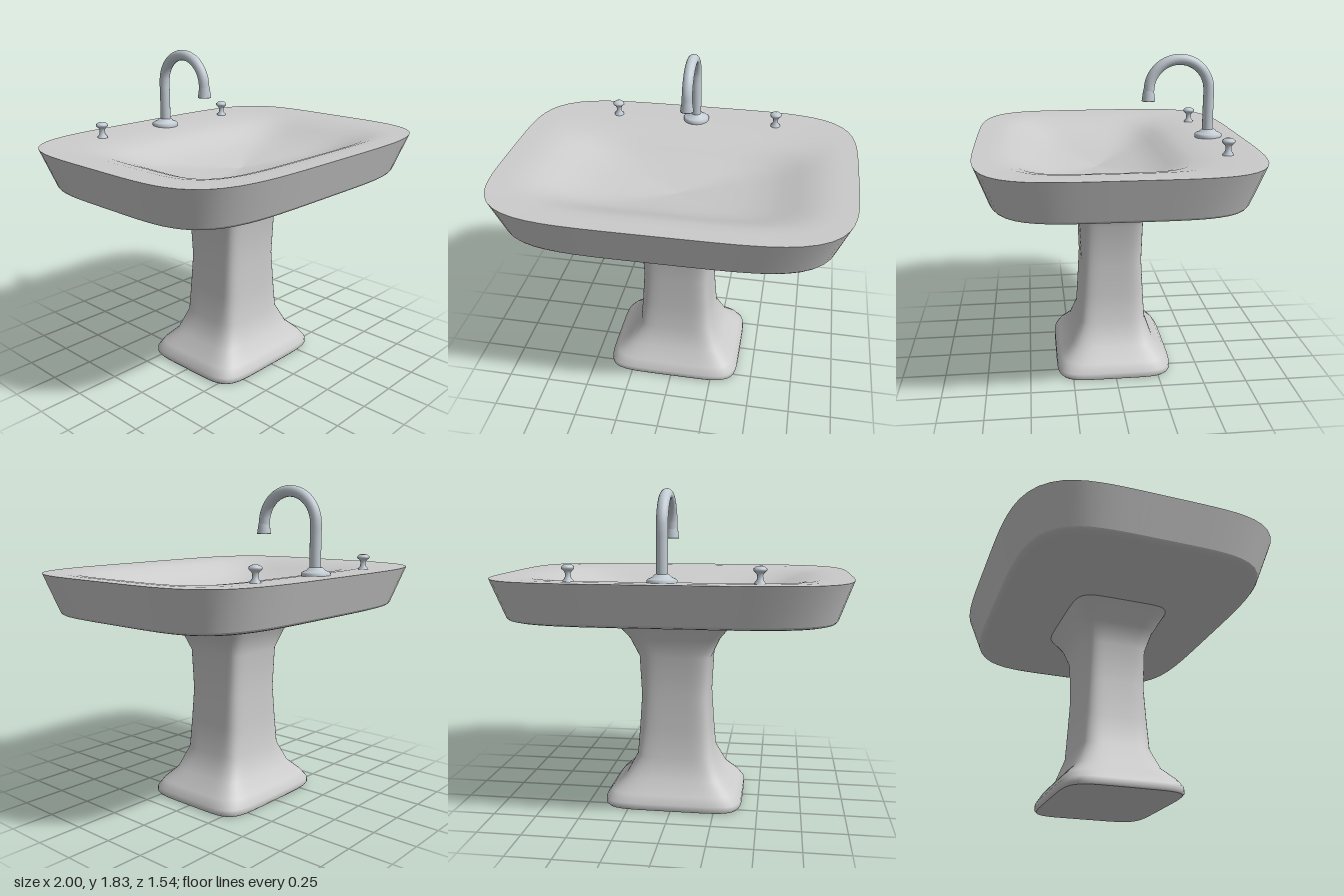
import * as THREE from 'three';

const ceramic = new THREE.MeshStandardMaterial({ color: 0xcccccc });
const metal = new THREE.MeshStandardMaterial({ color: 0xc3ccd4 });

// Skin over rounded-rectangle rings [y, halfX, halfZ, centreZ]; a repeated ring makes a sharp edge
function loft(rings, power, sides = 96) {
  const pos = [], index = [];
  for (const [y, a, b, cz = 0] of rings) {
    for (let j = 0; j < sides; j++) {
      const t = (j / sides) * Math.PI * 2, c = Math.cos(t), s = Math.sin(t);
      const r = (Math.abs(c) ** power + Math.abs(s) ** power) ** (-1 / power);
      pos.push(a * r * c, y, b * r * s + cz);
    }
  }
  for (let i = 0; i < rings.length - 1; i++) {
    for (let j = 0; j < sides; j++) {
      const k = (j + 1) % sides;
      const p = i * sides + j, q = i * sides + k, u = p + sides, v = q + sides;
      index.push(p, u, q, q, u, v);
    }
  }
  const geo = new THREE.BufferGeometry();
  geo.setAttribute('position', new THREE.Float32BufferAttribute(pos, 3));
  geo.setIndex(index);
  geo.computeVertexNormals();
  return geo;
}

function add(parent, name, geo, mat, x = 0, y = 0, z = 0) {
  const mesh = new THREE.Mesh(geo, mat);
  mesh.name = name;
  mesh.position.set(x, y, z);
  parent.add(mesh);
  return mesh;
}

const lathe = (points, sides) =>
  new THREE.LatheGeometry(points.map(([r, y]) => new THREE.Vector2(r, y)), sides);

export function createModel() {
  const model = new THREE.Group();
  model.name = 'pedestalSink';

  // Pedestal: flared foot, waisted column, flared neck
  add(model, 'pedestal', loft([
    [0, 0, 0], [0, 0.395, 0.33], [0, 0.395, 0.33],
    [0.012, 0.405, 0.34], [0.04, 0.403, 0.338], [0.085, 0.37, 0.31],
    [0.155, 0.295, 0.245], [0.28, 0.227, 0.2], [0.45, 0.213, 0.19],
    [0.64, 0.201, 0.18], [0.88, 0.213, 0.187], [0.99, 0.265, 0.222],
    [1.1, 0.355, 0.285],
  ], 6), ceramic);

  // Basin: underside, slanted side, rim, then the bowl down to its lowest point
  add(model, 'basin', loft([
    [1.093, 0, 0], [1.095, 0.3, 0.23], [1.126, 0.89, 0.665], [1.126, 0.89, 0.665],
    [1.133, 0.915, 0.685], [1.145, 0.925, 0.694], [1.145, 0.925, 0.694],
    [1.36, 1, 0.77], [1.36, 1, 0.77],
    [1.357, 0.9, 0.665, 0.01], [1.351, 0.83, 0.57, 0.045], [1.336, 0.755, 0.485, 0.08],
    [1.31, 0.68, 0.42, 0.085], [1.28, 0.6, 0.362, 0.082], [1.252, 0.51, 0.302, 0.08],
    [1.23, 0.39, 0.228, 0.078], [1.21, 0.22, 0.13, 0.075], [1.19, 0, 0, 0.07],
  ], 4.6), ceramic);

  // Faucet: base plate, gooseneck pipe, flared spout end
  const faucet = new THREE.Group();
  faucet.name = 'faucet';
  model.add(faucet);
  add(faucet, 'faucetBase', lathe([
    [0.078, 0], [0.08, 0.018], [0.07, 0.026], [0.05, 0.034], [0.04, 0.046], [0.03, 0.05],
  ], 32), metal, 0, 1.35, -0.588);

  const bend = 0.176, bendY = 1.628, bendZ = -0.406;
  const path = [1.35, 1.42, 1.49, 1.56].map((y) => new THREE.Vector3(0, y, bendZ - bend));
  for (let i = 0; i <= 12; i++) {
    const t = (i / 12) * Math.PI;
    path.push(new THREE.Vector3(0, bendY + bend * Math.sin(t), bendZ - bend * Math.cos(t)));
  }
  path.push(new THREE.Vector3(0, 1.6, bendZ + bend + 0.001));
  add(faucet, 'gooseneckPipe',
    new THREE.TubeGeometry(new THREE.CatmullRomCurve3(path), 80, 0.031, 20), metal);
  add(faucet, 'spoutEnd', lathe([
    [0, 0.004], [0.028, 0.004], [0.032, 0], [0.039, 0], [0.039, 0.004], [0.031, 0.062],
  ], 24), metal, 0, 1.568, bendZ + bend + 0.002);

  // Pair of small tap knobs
  for (const [name, side] of [['leftKnob', 1], ['rightKnob', -1]]) {
    add(model, name, lathe([
      [0.031, 0], [0.029, 0.012], [0.017, 0.026], [0.015, 0.05], [0.022, 0.062],
      [0.035, 0.074], [0.035, 0.084], [0.022, 0.094], [0, 0.097],
    ], 12), metal, side * 0.5, 1.348, -0.577);
  }
  return model;
}
